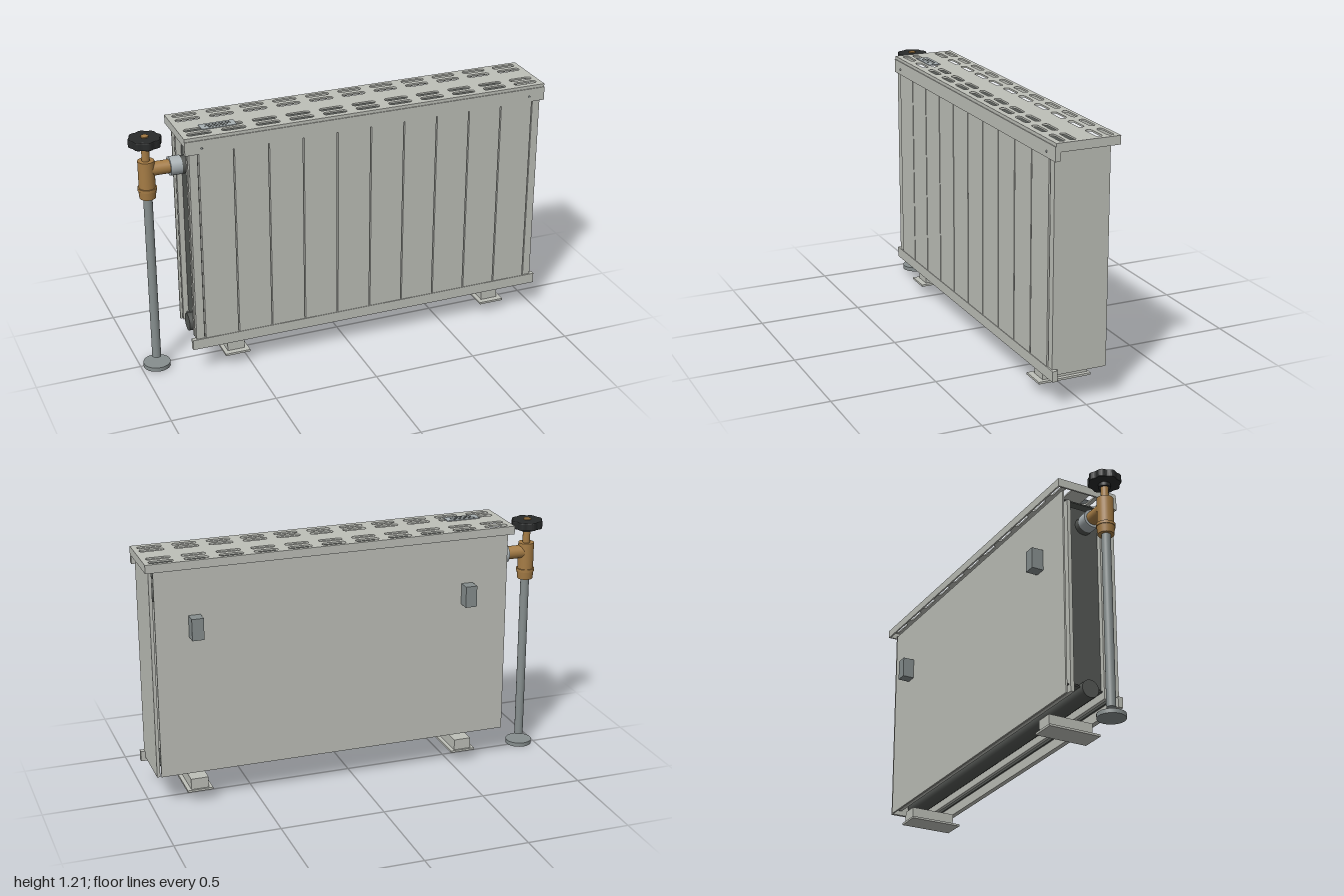
import * as THREE from 'three';

const mat = (name, color, side = THREE.FrontSide) => {
  const m = new THREE.MeshStandardMaterial({ color, side });
  m.name = name;
  return m;
};

export function createModel() {
  const enamel = mat('pale grey enamel', 0xbdbfb8);
  const dark = mat('dark interior', 0x535653);
  const steel = mat('pipe steel', 0x868e8e);
  const zinc = mat('pale zinc', 0xa9b1b4);
  const brass = mat('brass', 0xa57c45);
  const black = mat('black plastic', 0x282a2a);

  const model = new THREE.Group();
  model.name = 'radiator';
  const group = (name) => {
    const g = new THREE.Group();
    g.name = name;
    model.add(g);
    return g;
  };
  const add = (parent, name, geo, m) => {
    const mesh = new THREE.Mesh(geo, m);
    mesh.name = name;
    parent.add(mesh);
    return mesh;
  };
  // Box given by its limits on each axis
  const box = (parent, name, m, x0, x1, y0, y1, z0, z1) => {
    const b = add(parent, name, new THREE.BoxGeometry(x1 - x0, y1 - y0, z1 - z0), m);
    b.position.set((x0 + x1) / 2, (y0 + y1) / 2, (z0 + z1) / 2);
    return b;
  };
  // Upright cylinder between two heights
  const post = (parent, name, m, x, z, y0, y1, r, sides = 28, rTop = r) => {
    const c = add(parent, name, new THREE.CylinderGeometry(rTop, r, y1 - y0, sides), m);
    c.position.set(x, (y0 + y1) / 2, z);
    return c;
  };
  // Cylinder lying along x
  const bar = (parent, name, m, x0, x1, y, z, r, sides = 28) => {
    const c = add(parent, name, new THREE.CylinderGeometry(r, r, x1 - x0, sides), m);
    c.rotation.z = Math.PI / 2;
    c.position.set((x0 + x1) / 2, y, z);
    return c;
  };

  // Slotted top cover: pierced plate with a skirt below
  const cap = group('topCover');
  const plate = new THREE.Shape();
  plate.moveTo(-0.785, -0.16).lineTo(0.995, -0.16).lineTo(0.995, 0.143).lineTo(-0.785, 0.143).closePath();
  for (const z of [-0.11, -0.056, 0.067, 0.117]) {
    for (let i = 0; i < 11; i++) {
      const x = -0.702 + i * 0.1617, r = 0.015, h = 0.042;
      const slot = new THREE.Path();
      slot.absarc(x + h, -z, r, -Math.PI / 2, Math.PI / 2, false);
      slot.absarc(x - h, -z, r, Math.PI / 2, Math.PI * 1.5, false);
      slot.closePath();
      plate.holes.push(slot);
    }
  }
  const plateGeo = new THREE.ExtrudeGeometry(plate, { depth: 0.008, bevelEnabled: false, curveSegments: 6 });
  plateGeo.rotateX(-Math.PI / 2).translate(0, 1.192, 0);
  add(cap, 'slottedPlate', plateGeo, enamel);
  box(cap, 'backSkirt', enamel, -0.785, 0.995, 1.16, 1.192, -0.143, -0.135);
  box(cap, 'rightSkirt', enamel, -0.785, -0.777, 1.16, 1.192, -0.135, 0.14);
  box(cap, 'leftSkirt', enamel, 0.987, 0.995, 1.16, 1.192, -0.135, 0.14);
  box(cap, 'frontSkirt', enamel, -0.785, 0.995, 1.18, 1.192, 0.14, 0.16);
  box(cap, 'frontLip', enamel, -0.785, 0.995, 1.12, 1.185, 0.14, 0.164);
  for (const x of [-0.707, 0.915]) {
    const screw = add(cap, 'screw', new THREE.SphereGeometry(0.005, 10, 8), steel);
    screw.position.set(x, 1.147, 0.165);
  }

  // Rating plate with ruled lines
  const label = group('ratingPlate');
  box(label, 'plate', zinc, -0.68, -0.515, 1.2, 1.204, 0.03, 0.088);
  for (const [z, w] of [[0.045, 0.06], [0.059, 0.06], [0.073, 0.045]]) {
    box(label, 'line', dark, -0.598 - w, -0.598 + w, 1.204, 1.205, z - 0.002, z + 0.002);
  }

  // Front: ten slats between two stiles, with a rail below
  const front = group('frontPanel');
  const pitch = 0.1657;
  for (let i = 0; i < 10; i++) {
    const x = -0.723 + i * pitch;
    box(front, 'slat', enamel, x + 0.003, x + pitch - 0.003, 0.18, 1.12, 0.139, 0.161);
  }
  box(front, 'backing', dark, -0.73, 0.94, 0.18, 1.12, 0.131, 0.139);
  box(front, 'rightStile', enamel, -0.765, -0.726, 0.18, 1.14, 0.131, 0.157);
  box(front, 'leftStile', enamel, 0.938, 0.975, 0.18, 1.14, 0.131, 0.157);
  box(front, 'bottomRail', enamel, -0.785, 0.995, 0.133, 0.183, 0.14, 0.164);

  // Casing: back sheet and closed left end
  const casing = group('casing');
  box(casing, 'backSheet', enamel, -0.765, 0.955, 0.155, 1.155, -0.112, -0.104);
  box(casing, 'endPanel', enamel, 0.96, 0.975, 0.155, 1.165, -0.106, 0.131);

  // Heating core: water panels, headers and convector fins
  const core = group('heatingCore');
  for (const z of [-0.075, 0.095]) {
    box(core, 'waterPanel', enamel, -0.76, 0.94, 0.17, 1.12, z - 0.009, z + 0.009);
  }
  for (const y of [0.2, 1.015]) bar(core, 'header', dark, -0.765, 0.945, y, 0.013, 0.042);
  for (let i = 0; i < 42; i++) {
    const x = -0.735 + i * 0.04;
    box(core, 'fin', dark, x, x + 0.004, 0.22, 1.1, -0.066, 0.086);
  }
  box(core, 'topBaffle', dark, -0.745, 0.955, 1.12, 1.126, -0.1, 0.131);
  box(core, 'bottomBaffle', dark, -0.745, 0.955, 0.205, 0.211, -0.1, 0.131);

  // Wall brackets and feet
  const supports = group('supports');
  for (const x of [-0.56, 0.772]) {
    box(supports, 'wallBracket', steel, x - 0.028, x + 0.028, 0.83, 0.933, -0.17, -0.112);
  }
  for (const x of [-0.562, 0.772]) {
    box(supports, 'footBlock', enamel, x - 0.042, x + 0.042, 0.065, 0.118, -0.102, 0.12);
    box(supports, 'footPlate', enamel, x - 0.061, x + 0.061, 0.055, 0.065, -0.11, 0.148);
  }

  // Supply pipe and floor collar
  const vx = -0.923, vz = 0.013;
  const supply = group('supplyPipe');
  post(supply, 'pipe', steel, vx, vz, 0.05, 0.89, 0.021);
  post(supply, 'floorCollar', steel, vx, vz, 0, 0.02, 0.064, 36);

  // Angle valve
  const valve = group('valve');
  post(valve, 'lowerNut', brass, vx, vz, 0.88, 0.918, 0.037, 28, 0.041);
  post(valve, 'lowerRing', brass, vx, vz, 0.918, 0.932, 0.044);
  post(valve, 'body', brass, vx, vz, 0.932, 1.062, 0.038);
  post(valve, 'stem', brass, vx, vz, 1.062, 1.182, 0.018);
  bar(valve, 'outlet', brass, vx, -0.81, 1.017, vz, 0.032);
  bar(valve, 'unionNut', zinc, -0.818, -0.765, 1.017, vz, 0.044);

  // Scalloped handwheel
  const wheel = new THREE.Shape();
  for (let i = 0; i < 64; i++) {
    const a = (i / 64) * Math.PI * 2;
    const r = 0.069 + 0.004 * Math.cos(8 * a);
    wheel[i ? 'lineTo' : 'moveTo'](r * Math.cos(a), r * Math.sin(a));
  }
  wheel.closePath();
  const wheelGeo = new THREE.ExtrudeGeometry(wheel, {
    depth: 0.028, bevelThickness: 0.006, bevelSize: 0.004, bevelSegments: 2,
  });
  wheelGeo.rotateX(-Math.PI / 2);
  add(valve, 'handwheel', wheelGeo, black).position.set(vx, 1.143, vz);
  post(valve, 'wheelHub', black, vx, vz, 1.12, 1.14, 0.028);

  return model;
}
